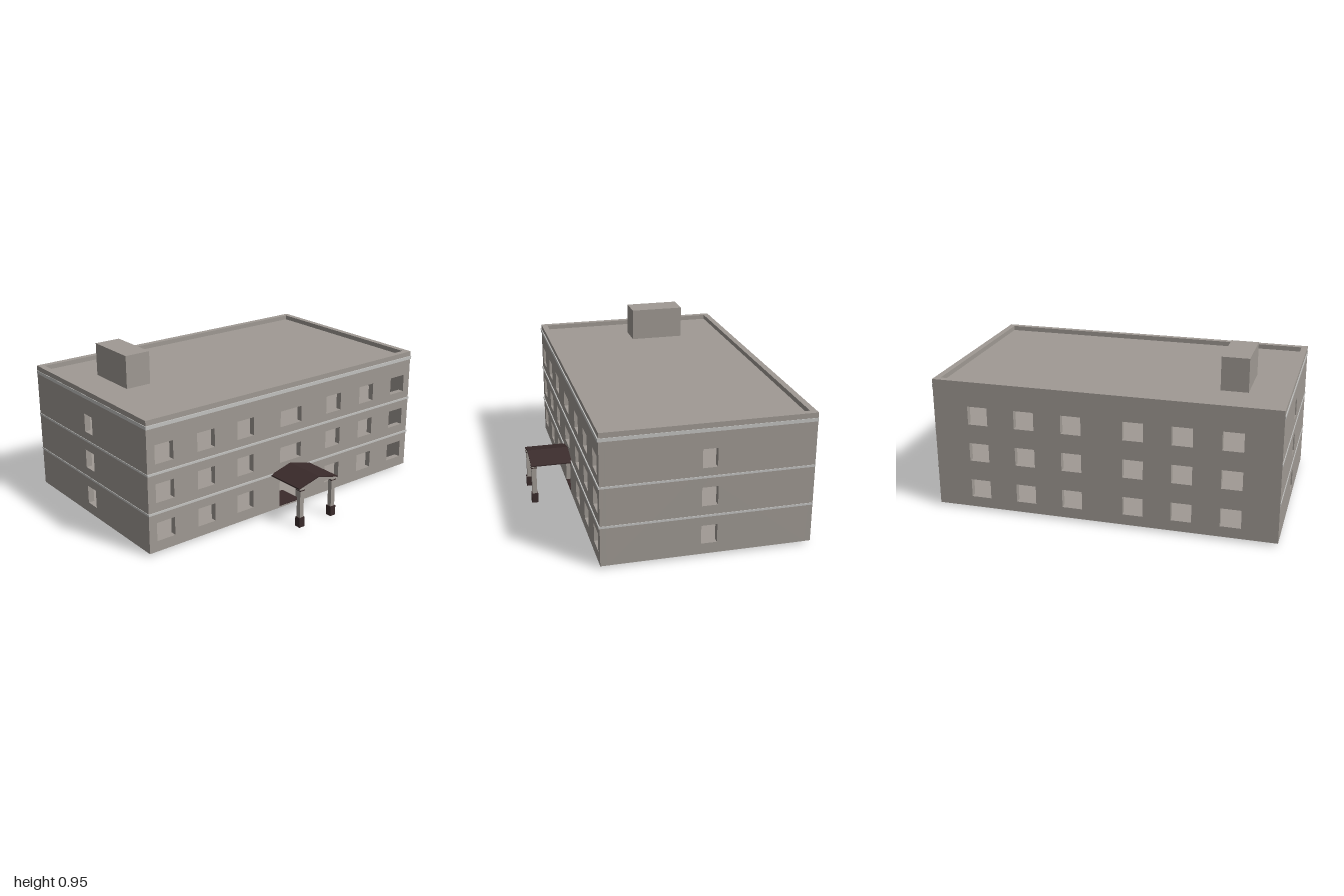
import * as THREE from 'three';

const material = (name, color) => {
  const m = new THREE.MeshStandardMaterial({ color });
  m.name = name;
  return m;
};

export function createModel() {
  const model = new THREE.Group();
  model.name = 'building';
  const stone = material('warm grey stone', 0xa09a94);
  const trim = material('pale trim', 0xc4c4c2);
  const dark = material('dark brown', 0x3a2b2b);

  const X = 0.997, FRONT = 0.477, BACK = -0.72, T = 0.036;
  const BOTTOM = 0.015, TOP = 0.785;
  const rows = [[0.078, 0.187], [0.305, 0.415], [0.529, 0.638]];

  const add = (name, geometry, mat, parent = model) => {
    const mesh = new THREE.Mesh(geometry, mat);
    mesh.name = name;
    parent.add(mesh);
    return mesh;
  };

  // Box given by its lower and upper limits on each axis
  const box = (name, mat, [x0, x1], [y0, y1], [z0, z1], parent) => {
    const mesh = add(name, new THREE.BoxGeometry(x1 - x0, y1 - y0, z1 - z0), mat, parent);
    mesh.position.set((x0 + x1) / 2, (y0 + y1) / 2, (z0 + z1) / 2);
    return mesh;
  };

  // Wall slab with rectangular openings [x0, x1, y0, y1]
  const wall = (name, x0, x1, openings) => {
    const rect = (path, a, b, c, d) =>
      path.moveTo(a, c).lineTo(b, c).lineTo(b, d).lineTo(a, d).closePath();
    const shape = new THREE.Shape();
    rect(shape, x0, x1, BOTTOM, TOP);
    for (const o of openings) {
      const hole = new THREE.Path();
      rect(hole, ...o);
      shape.holes.push(hole);
    }
    return add(name, new THREE.ExtrudeGeometry(shape, { depth: T, bevelEnabled: false }), stone);
  };

  // Window grid mirrored about the centre
  const grid = (centres) => centres.flatMap((c) => [-c, c]).flatMap((c) =>
    rows.map(([y0, y1]) => [c - 0.059, c + 0.059, y0, y1]));

  // Outer walls
  const frontOpenings = [
    ...grid([0.888, 0.613, 0.338]),
    [-0.08, 0.08, 0.305, 0.4], [-0.08, 0.08, 0.529, 0.625],
    [-0.08, 0.08, 0.025, 0.205],
  ];
  wall('frontWall', -X, X, frontOpenings).position.z = FRONT - T;
  wall('backWall', -X, X, grid([0.733, 0.455, 0.178])).position.z = BACK;
  const sideOpenings = rows.map(([y0, y1], i) => [0.081, i === 2 ? 0.165 : 0.172, y0, y1]);
  for (const side of [-1, 1]) {
    const w = wall(side > 0 ? 'leftWall' : 'rightWall', -(FRONT - T), -(BACK + T), sideOpenings);
    w.rotation.y = Math.PI / 2;
    w.position.x = side > 0 ? X - T : -X;
  }

  // Floors and sunken roof deck
  const inX = [-X + T, X - T], inZ = [BACK + T, FRONT - T];
  box('groundFloor', stone, inX, [BOTTOM, 0.024], inZ);
  box('secondFloor', stone, inX, [0.235, 0.252], inZ);
  box('thirdFloor', stone, inX, [0.462, 0.48], inZ);
  box('roofDeck', stone, inX, [0.735, 0.757], inZ);
  box('roofHousing', stone, [-0.76, -0.602], [0.757, 0.953], [-0.41, -0.08]);

  // Trim bands on the front and both sides
  for (const y of [[0.24, 0.252], [0.47, 0.482], [0.735, 0.755]]) {
    const band = new THREE.Group();
    band.name = 'trimBand';
    model.add(band);
    box('frontBand', trim, [-1, 1], y, [FRONT, FRONT + 0.006], band);
    box('rightBand', trim, [-1, -X], y, [BACK, FRONT], band);
    box('leftBand', trim, [X, 1], y, [BACK, FRONT], band);
  }

  // Door mat
  box('doorMat', dark, [-0.08, 0.08], [0.024, 0.029], [0.32, FRONT]);

  // Porch: gable body, pitched roof and two posts
  const porch = new THREE.Group();
  porch.name = 'porch';
  model.add(porch);
  const prism = (name, points, z0, z1, mat) => {
    const shape = new THREE.Shape(points.map(([x, y]) => new THREE.Vector2(x, y)));
    const geometry = new THREE.ExtrudeGeometry(shape, { depth: z1 - z0, bevelEnabled: false });
    add(name, geometry, mat, porch).position.z = z0;
  };
  prism('porchGable', [[-0.138, 0.238], [0.138, 0.238], [0.138, 0.245], [0, 0.28], [-0.138, 0.245]],
    FRONT, 0.718, stone);
  prism('porchRoof', [[-0.148, 0.241], [0, 0.279], [0.148, 0.241], [0.148, 0.248], [0, 0.287], [-0.148, 0.248]],
    FRONT, 0.724, dark);
  for (const x of [-0.121, 0.121]) {
    const post = new THREE.Group();
    post.name = 'porchPost';
    post.position.set(x, 0, 0.706);
    porch.add(post);
    const block = (name, mat, r, y) => box(name, mat, [-r, r], y, [-r, r], post);
    block('postBase', dark, 0.019, [0, 0.06]);
    block('postShaft', stone, 0.014, [0.06, 0.226]);
    block('postCollar', dark, 0.018, [0.226, 0.232]);
    block('postCapital', stone, 0.018, [0.232, 0.239]);
  }

  return model;
}
